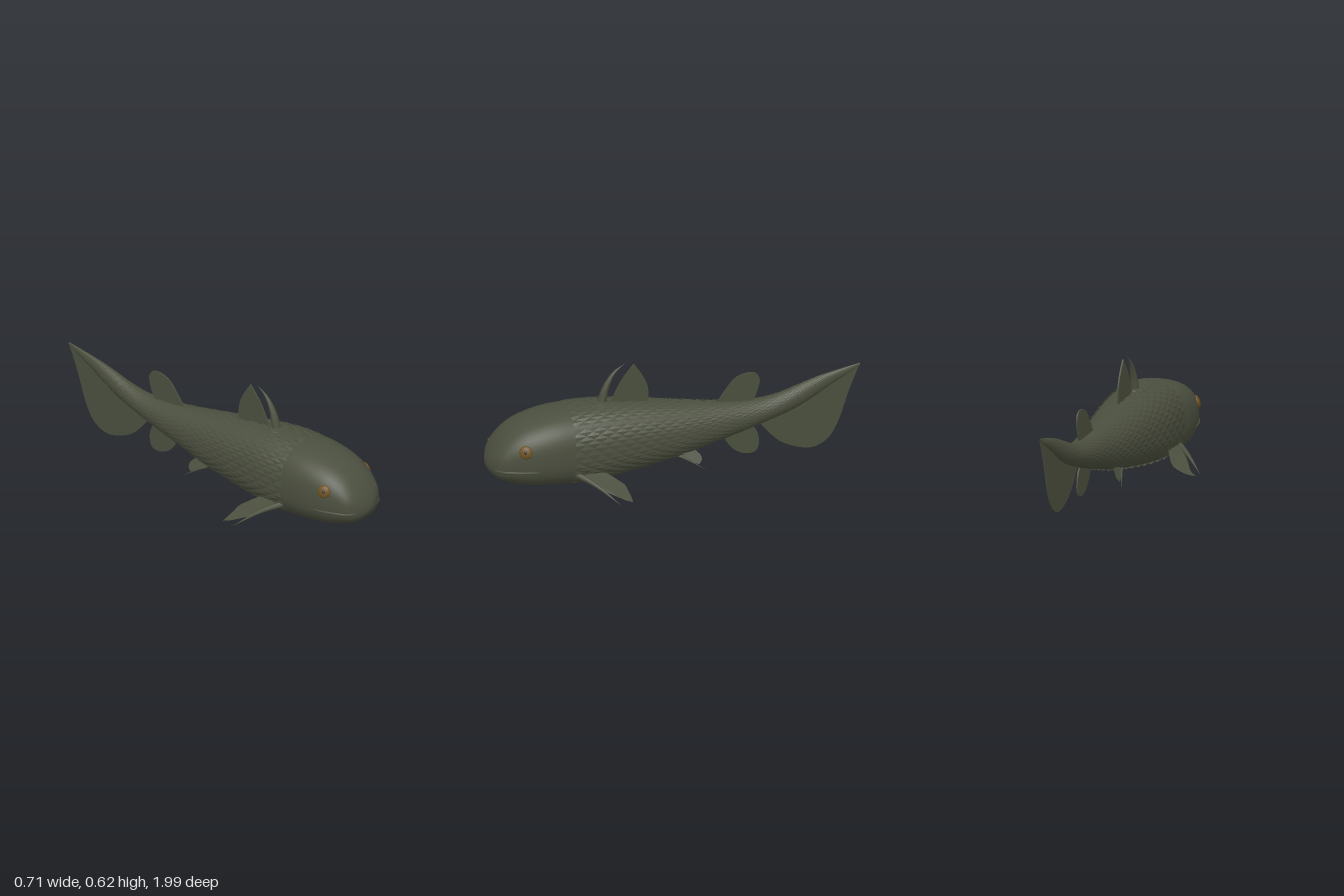
import * as THREE from 'three';

const paint = (name, color) => {
  const m = new THREE.MeshStandardMaterial({ color, side: THREE.DoubleSide });
  m.name = name;
  return m;
};

// Body sections: z, top y, bottom y, half width
const SECTIONS = [
  [1, .17, .17, 0], [.99, .215, .138, .055], [.955, .275, .1, .122], [.9, .335, .075, .153],
  [.83, .378, .055, .178], [.75, .405, .043, .193], [.65, .424, .034, .2], [.55, .43, .03, .198],
  [.4, .428, .037, .19], [.2, .408, .06, .165], [0, .378, .09, .135], [-.2, .35, .135, .1],
  [-.4, .333, .185, .07], [-.5, .338, .215, .058], [-.6, .362, .245, .045], [-.7, .397, .288, .034],
  [-.8, .427, .345, .022], [-.9, .448, .4, .012], [-.99, .464, .45, .003],
];
const along = z => Math.sqrt(Math.max(0, 1 - z));
const spline = new THREE.CubicInterpolant(
  SECTIONS.map(s => along(s[0])), SECTIONS.flatMap(s => s.slice(1)), 3);

function section(z) {
  const [top, bottom, w] = spline.evaluate(along(z));
  const p = THREE.MathUtils.mapLinear(THREE.MathUtils.clamp(z, -.5, .5), -.5, .5, 2, 2.5);
  return { c: (top + bottom) / 2, h: (top - bottom) / 2, w, p };
}
// Point on the rounded-square cross-section, k scales it outward
function skinPoint(z, a, k = 1) {
  const { c, h, w, p } = section(z);
  const f = v => Math.sign(v) * Math.abs(v) ** (2 / p);
  return [k * w * f(Math.cos(a)), c + k * h * f(Math.sin(a)), z];
}
// Half width of the body at a given z and y
function sideX(z, y) {
  const { c, h, w, p } = section(z);
  return w * Math.max(0, 1 - Math.abs((y - c) / h) ** p) ** (1 / p);
}

// Smooth skin between two z positions
function loft(z0, z1, rows, k) {
  const cols = 48, pos = [], idx = [];
  for (let i = 0; i <= rows; i++) {
    const u = THREE.MathUtils.lerp(along(z0), along(z1), i / rows);
    for (let j = 0; j < cols; j++) {
      pos.push(...skinPoint(1 - u * u, j / cols * Math.PI * 2, k));
      if (i === rows) continue;
      const a = i * cols + j, b = i * cols + (j + 1) % cols;
      idx.push(a, a + cols, b, b, a + cols, b + cols);
    }
  }
  const g = new THREE.BufferGeometry();
  g.setAttribute('position', new THREE.Float32BufferAttribute(pos, 3));
  g.setIndex(idx);
  g.computeVertexNormals();
  return g;
}

// Staggered diamond scales whose rear corners lift off the skin
function scales() {
  const pos = [], cols = 28, da = Math.PI / cols;
  let z = .56;
  for (let row = 0; z > -.8; row++) {
    const d = THREE.MathUtils.mapLinear(z, .56, -.8, .04, .03);
    for (let j = 0; j < cols; j++) {
      const a = (2 * j + row % 2) * da;
      const mid = skinPoint(z, a, 1.015);
      const rim = [skinPoint(z + d, a, .985), skinPoint(z, a - da, .997),
        skinPoint(z - d * 1.1, a, 1.04), skinPoint(z, a + da, .997)];
      rim.forEach((p, n) => pos.push(...mid, ...p, ...rim[(n + 1) % 4]));
    }
    z -= d;
  }
  const g = new THREE.BufferGeometry();
  g.setAttribute('position', new THREE.Float32BufferAttribute(pos, 3));
  g.computeVertexNormals();
  return g;
}

// Tube along a curve with radius varying by rule
function taperedTube(points, radius, taper) {
  const curve = new THREE.CatmullRomCurve3(points.map(p => new THREE.Vector3(...p)));
  const segs = 20, sides = 10;
  const g = new THREE.TubeGeometry(curve, segs, radius, sides);
  const v = new THREE.Vector3(), pos = g.attributes.position;
  for (let i = 0; i < pos.count; i++) {
    const t = Math.floor(i / (sides + 1)) / segs, c = curve.getPointAt(t);
    v.fromBufferAttribute(pos, i).sub(c).multiplyScalar(taper(t)).add(c);
    pos.setXYZ(i, v.x, v.y, v.z);
  }
  g.computeVertexNormals();
  return g;
}
const pointed = t => Math.max(.03, 1 - t ** 1.3);

// Outline from a start point and one spline per edge
function outline(start, ...edges) {
  const s = new THREE.Shape().moveTo(...start);
  edges.forEach(e => s.splineThru(e.map(p => new THREE.Vector2(...p))));
  return s;
}
// Upright fin in the centre plane, outline given as (z, y)
function medianFin(...path) {
  const depth = .008;
  const g = new THREE.ExtrudeGeometry(outline(...path), { depth, bevelEnabled: false, curveSegments: 10 });
  return g.rotateY(-Math.PI / 2).translate(depth / 2, 0, 0);
}

export function createModel() {
  const skin = paint('olive skin', 0x4b4f3e);
  const amber = paint('amber eye', 0x6b4f20);
  const dark = paint('dark pupil', 0x35372c);
  const model = new THREE.Group();
  const add = (name, geometry, material = skin, parent = model) => {
    const m = new THREE.Mesh(geometry, material);
    m.name = name;
    parent.add(m);
    return m;
  };

  add('head', loft(1, .575, 36, 1.005));
  add('body', loft(.6, -.99, 60, .985));
  add('scales', scales());

  // Rounded plates leading up to the dorsal spine
  [[.54, .05], [.465, .055], [.385, .055]].forEach(([z, r]) => {
    const plate = add('backPlate', new THREE.SphereGeometry(r, 20, 12));
    plate.scale.set(1, .28, .85);
    plate.position.set(0, .421, z);
  });

  add('dorsalSpine', taperedTube(
    [[0, .41, .385], [0, .5, .362], [0, .58, .318], [0, .627, .26]], .025, pointed));
  add('dorsalFin', medianFin([.34, .41],
    [[.28, .53], [.21, .62]], [[.165, .55], [.137, .48], [.135, .4]]));
  add('rearDorsalFin', medianFin([-.22, .33],
    [[-.27, .4], [-.32, .46], [-.38, .487], [-.435, .482], [-.457, .44], [-.44, .37], [-.41, .31]]));
  add('analFin', medianFin([-.25, .17],
    [[-.3, .09], [-.35, .05], [-.4, .038], [-.44, .052], [-.453, .1], [-.44, .16], [-.4, .21]]));
  add('tailFin', medianFin([-.44, .22],
    [[-.55, .095], [-.65, .042], [-.74, .028], [-.82, .068], [-.875, .16], [-.93, .32], [-.985, .455]],
    [[-.8, .39], [-.62, .3], [-.44, .24]]));

  // Paired parts, built on the left and mirrored to the right
  for (const side of [1, -1]) {
    const half = new THREE.Group();
    half.name = side > 0 ? 'leftParts' : 'rightParts';
    half.scale.x = side;
    model.add(half);

    // Eye lying in the skin
    const eye = new THREE.Group();
    eye.name = 'eye';
    eye.position.set(sideX(.835, .28), .28, .835);
    eye.lookAt(eye.position.clone().add(new THREE.Vector3(.87, .3, .38)));
    half.add(eye);
    add('eyeball', new THREE.SphereGeometry(.034, 24, 16), amber, eye).scale.z = .42;
    const pupil = add('pupil', new THREE.SphereGeometry(.009, 14, 10), dark, eye);
    pupil.scale.z = .6;
    pupil.position.z = .012;

    add('nostril', new THREE.SphereGeometry(.006, 12, 8), skin, half)
      .position.set(sideX(.955, .255), .255, .955);

    // Lip following the side of the snout
    const lip = [.76, .82, .88, .93, .965, .984].map(z => [sideX(z, .165), .165, z]);
    add('lip', taperedTube(lip, .008, t => .15 + .85 * Math.sin(Math.PI * t) ** .6), skin, half);

    // Pectoral fin: stout spine and drooping web
    add('pectoralSpine', taperedTube(
      [[.155, .125, .575], [.25, .083, .485], [.355, .008, .385]], .017, pointed), skin, half);
    const web = new THREE.ShapeGeometry(outline([.16, .55],
      [[.25, .465], [.3, .385], [.335, .345], [.352, .32]],
      [[.31, .315], [.27, .318], [.23, .325], [.2, .36], [.15, .45]]), 8);
    const wp = web.attributes.position;
    for (let i = 0; i < wp.count; i++) {
      const x = wp.getX(i), z = wp.getY(i);
      const droop = .032 * Math.sin(Math.PI * THREE.MathUtils.clamp((x - .13) / .22, 0, 1))
        * THREE.MathUtils.clamp((.5 - z) / .15, 0, 1);
      wp.setXYZ(i, x, .118 - .6 * (x - .18) - droop, z);
    }
    web.computeVertexNormals();
    add('pectoralWeb', web, skin, half);

    // Pelvic fin: small spine and web
    add('pelvicSpine', taperedTube(
      [[.06, .125, .03], [.09, .085, -.05], [.12, .033, -.135]], .009, pointed), skin, half);
    const pelvic = new THREE.ShapeGeometry(outline([.02, .12],
      [[-.05, .085], [-.105, .058]], [[-.122, .075], [-.12, .1], [-.09, .13]]), 8);
    const pp = pelvic.attributes.position;
    for (let i = 0; i < pp.count; i++) {
      const z = pp.getX(i), y = pp.getY(i);
      pp.setXYZ(i, .085 + .5 * (.09 - y), y, z);
    }
    pelvic.computeVertexNormals();
    add('pelvicWeb', pelvic, skin, half);
  }
  return model;
}
